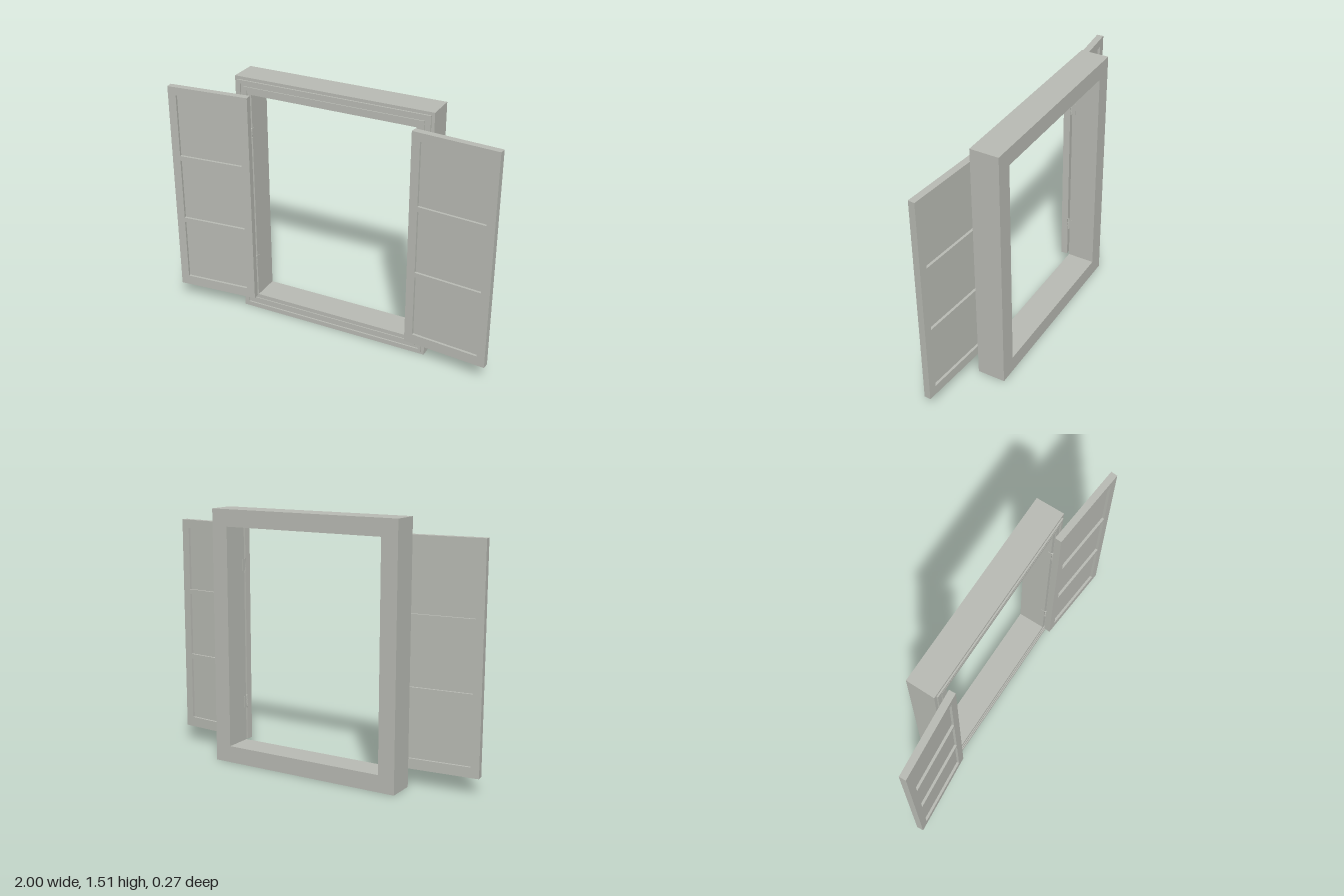
import * as THREE from 'three';

const paint = new THREE.MeshStandardMaterial({ color: 0xb9bbb4 });
paint.name = 'grey paint';

// Box given by its extents on each axis
function block(parent, name, x0, x1, y0, y1, z0, z1) {
  const geo = new THREE.BoxGeometry(Math.abs(x1 - x0), y1 - y0, z1 - z0);
  geo.translate((x0 + x1) / 2, (y0 + y1) / 2, (z0 + z1) / 2);
  const mesh = new THREE.Mesh(geo, paint);
  mesh.name = name;
  parent.add(mesh);
}

const W = 0.6, H = 1.51, BACK = -0.133, FRONT = 0.035;

// Rectangular moulding on the frame front, between two insets from its outer edge
function moulding(parent, name, inset, width, depth) {
  const x = W - inset, y0 = inset, y1 = H - inset;
  for (const s of [-1, 1]) block(parent, name + 'Side', s * x, s * (x - width), y0, y1, FRONT, FRONT + depth);
  const xi = x - width;
  block(parent, name + 'Bottom', -xi, xi, y0, y0 + width, FRONT, FRONT + depth);
  block(parent, name + 'Top', -xi, xi, y1 - width, y1, FRONT, FRONT + depth);
}

function makeFrame() {
  const frame = new THREE.Group();
  frame.name = 'windowFrame';
  for (const s of [-1, 1]) block(frame, 'jamb', s * 0.5, s * W, 0, H, BACK, FRONT);
  block(frame, 'sill', -0.5, 0.5, 0, 0.1, BACK, FRONT);
  block(frame, 'head', -0.5, 0.5, 1.41, H, BACK, FRONT);
  moulding(frame, 'outerMoulding', 0.018, 0.017, 0.009);
  moulding(frame, 'innerMoulding', 0.055, 0.02, 0.006);
  return frame;
}

// Open shutter hung at the jamb; s is +1 for left, -1 for right
function makeShutter(s) {
  const shutter = new THREE.Group();
  shutter.name = s > 0 ? 'leftShutter' : 'rightShutter';
  const L = 0.502, T = 0.04, edge = 0.05;
  block(shutter, 'hingeStile', 0, s * edge, 0.1, 1.41, 0, T);
  block(shutter, 'outerStile', s * (L - edge), s * L, 0.1, 1.41, 0, T);
  const rails = [[0.1, 0.16], [0.54, 0.57], [0.95, 0.98], [1.36, 1.41]];
  rails.forEach(([a, b], i) => {
    block(shutter, 'rail', s * edge, s * (L - edge), a, b, 0, T);
    // Panel recessed on both faces
    if (i < 3) block(shutter, 'panel', s * edge, s * (L - edge), b, rails[i + 1][0], 0.015, 0.025);
  });
  shutter.position.set(s * 0.5, 0, 0.049);
  shutter.rotation.y = -s * THREE.MathUtils.degToRad(5);
  return shutter;
}

// Small hinge: three knuckles and a leaf on the jamb
function makeHinge(s, y) {
  const hinge = new THREE.Group();
  hinge.name = 'hinge';
  for (const k of [-1, 0, 1]) {
    const knuckle = new THREE.Mesh(new THREE.CylinderGeometry(0.005, 0.005, 0.024, 12), paint);
    knuckle.name = 'hingeKnuckle';
    knuckle.position.set(s * 0.5, y + k * 0.027, 0.044);
    hinge.add(knuckle);
  }
  block(hinge, 'hingeLeaf', s * 0.498, s * 0.501, y - 0.035, y + 0.035, 0.015, 0.044);
  return hinge;
}

export function createModel() {
  const model = new THREE.Group();
  model.name = 'shutteredWindow';
  model.add(makeFrame());
  for (const s of [1, -1]) {
    model.add(makeShutter(s));
    for (const y of [0.338, 1.172]) model.add(makeHinge(s, y));
  }
  return model;
}
